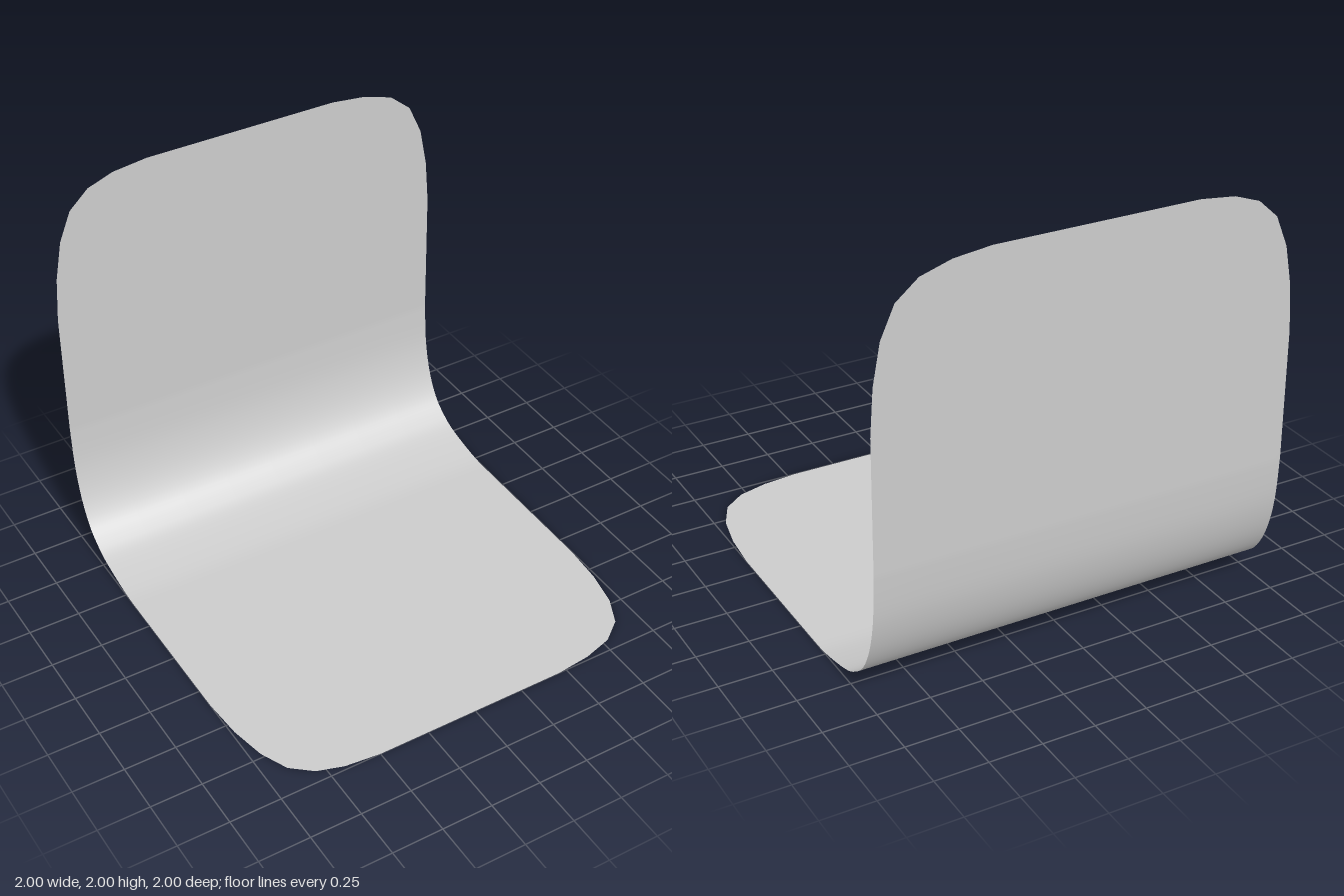
import * as THREE from 'three';

// Rounded corner: [inset from left edge, inset from right edge, distance from the end]
const CORNER = [
  [0.5, 0.54, 0], [0.33, 0.365, 0.02], [0.205, 0.22, 0.065], [0.11, 0.115, 0.152],
  [0.05, 0.05, 0.297], [0.015, 0.015, 0.485], [0, 0, 0.7],
];

// Bend between seat and back: [z, y]
const BEND = [
  [-0.36, 0], [-0.5, 0.005], [-0.7, 0.045], [-0.8, 0.092], [-0.88, 0.163],
  [-0.945, 0.29], [-0.985, 0.46], [-1, 0.68],
];

const COLUMNS = 8;

// Cross rows from the front edge of the seat to the top of the back
function sheetRows() {
  const rows = [];
  const add = (y, z, l = 0, r = 0) => rows.push({ y, z, left: -1 + l, right: 1 - r });

  // Seat front corners, slightly shorter than the back's
  for (const [l, r, d] of CORNER) add(0, 1 - d * 0.92, l, r);

  // Smooth bend
  const curve = new THREE.SplineCurve(BEND.map(([z, y]) => new THREE.Vector2(z, y)));
  for (const p of curve.getPoints(28)) add(Math.max(0, p.y), Math.max(-1, p.x));

  // Back top corners
  for (const [l, r, d] of [...CORNER].reverse()) add(2 - d, -1, l, r);
  return rows;
}

function sheetGeometry() {
  const rows = sheetRows();
  const positions = [];
  const index = [];
  const n = COLUMNS + 1;
  rows.forEach(({ y, z, left, right }, i) => {
    for (let j = 0; j < n; j++) {
      positions.push(THREE.MathUtils.lerp(left, right, j / COLUMNS), y, z);
      if (i < rows.length - 1 && j < COLUMNS) {
        const a = i * n + j;
        index.push(a, a + 1, a + n, a + 1, a + n + 1, a + n);
      }
    }
  });
  const geometry = new THREE.BufferGeometry();
  geometry.setAttribute('position', new THREE.Float32BufferAttribute(positions, 3));
  geometry.setIndex(index);
  geometry.computeVertexNormals();
  return geometry;
}

export function createModel() {
  const group = new THREE.Group();
  group.name = 'bentSeat';

  // Thin one-piece seat and backrest
  const shell = new THREE.Mesh(
    sheetGeometry(),
    new THREE.MeshStandardMaterial({ color: 0xcccccc, side: THREE.DoubleSide }),
  );
  shell.name = 'seatAndBackShell';
  group.add(shell);
  return group;
}
